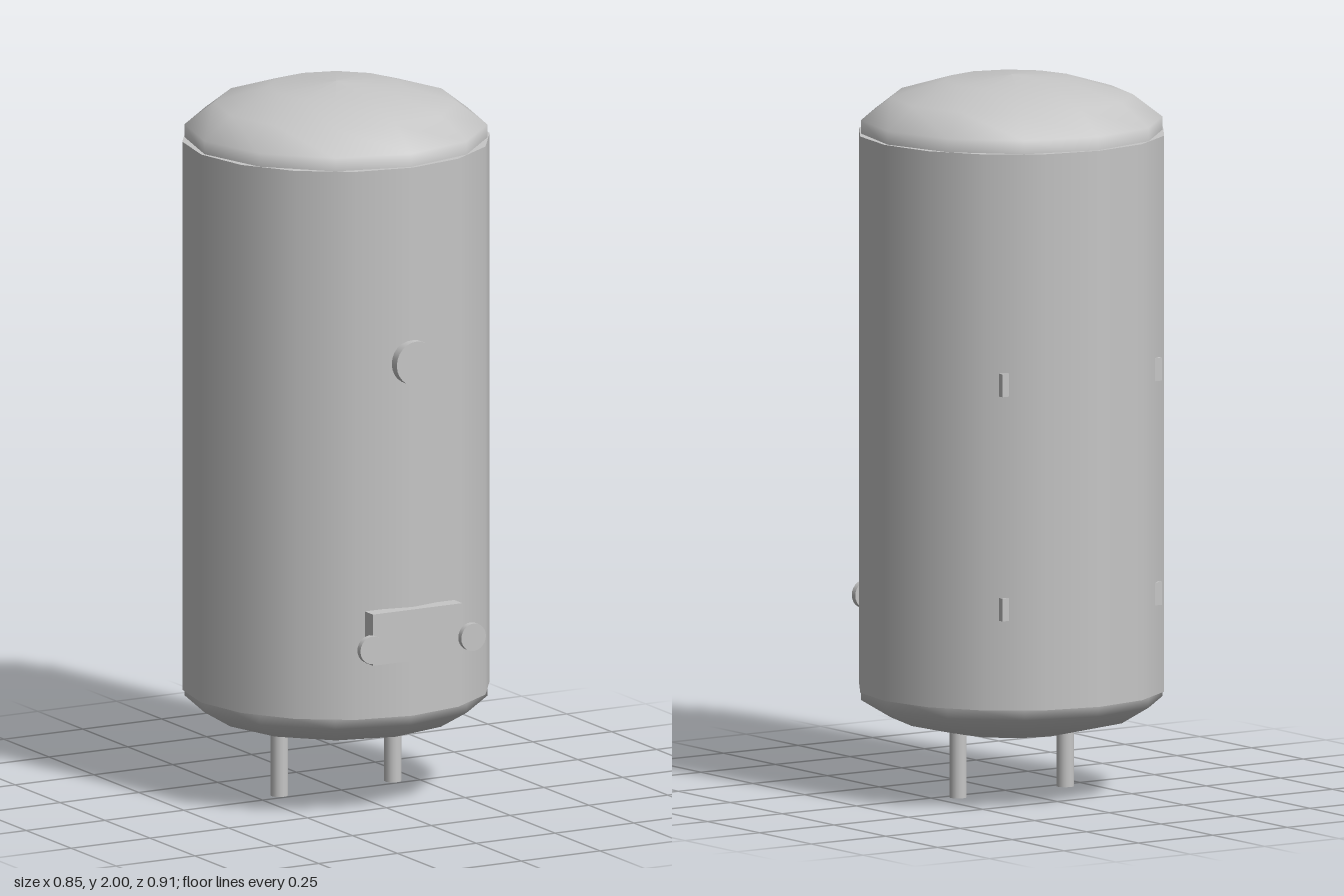
import * as THREE from 'three';

export function createModel() {
  const model = new THREE.Group();
  const steel = new THREE.MeshStandardMaterial({ color: 0xc6c6c6 });
  steel.name = 'grey steel';
  const axisZ = -0.03; // the tank axis sits slightly behind centre

  const add = (name, geometry, x, y, z) => {
    const mesh = new THREE.Mesh(geometry, steel);
    mesh.name = name;
    mesh.position.set(x, y, z);
    model.add(mesh);
    return mesh;
  };
  // Disc facing the front
  const disc = (name, radius, depth, x, y, z) =>
    add(name, new THREE.CylinderGeometry(radius, radius, depth, 24).rotateX(Math.PI / 2), x, y, z);

  // Tank shell
  add('tankShell', new THREE.CylinderGeometry(0.427, 0.427, 1.55, 16), 0, 1.065, axisZ);

  // Dished ends: radius and height above the shell, from rim to crown
  const dish = [[0.417, -0.01], [0.417, 0.037], [0.335, 0.1], [0.185, 0.145], [0, 0.16]];
  const top = dish.map(([r, h]) => new THREE.Vector2(r, h));
  const bottom = dish.map(([r, h]) => new THREE.Vector2(r, -h * 0.78)).reverse();
  add('topDome', new THREE.LatheGeometry(top, 12), 0, 1.84, axisZ);
  add('bottomDome', new THREE.LatheGeometry(bottom, 12), 0, 0.29, axisZ);

  // Front gauge and hatch
  disc('gauge', 0.062, 0.028, 0, 1.29, 0.403);
  add('hatchPlate', new THREE.BoxGeometry(0.284, 0.145, 0.045), 0, 0.525, 0.402);

  // Mirrored knobs, legs and rear clips
  for (const side of [-1, 1]) {
    disc('hatchKnob', 0.039, 0.017, side * 0.16, 0.505, 0.4465);
    add('leg', new THREE.CylinderGeometry(0.024, 0.024, 0.19, 16), side * 0.18, 0.095, axisZ);
    for (const y of [0.572, 1.197]) {
      add('rearClip', new THREE.BoxGeometry(0.028, 0.064, 0.018), side * 0.254, y, -0.361);
    }
  }
  return model;
}
